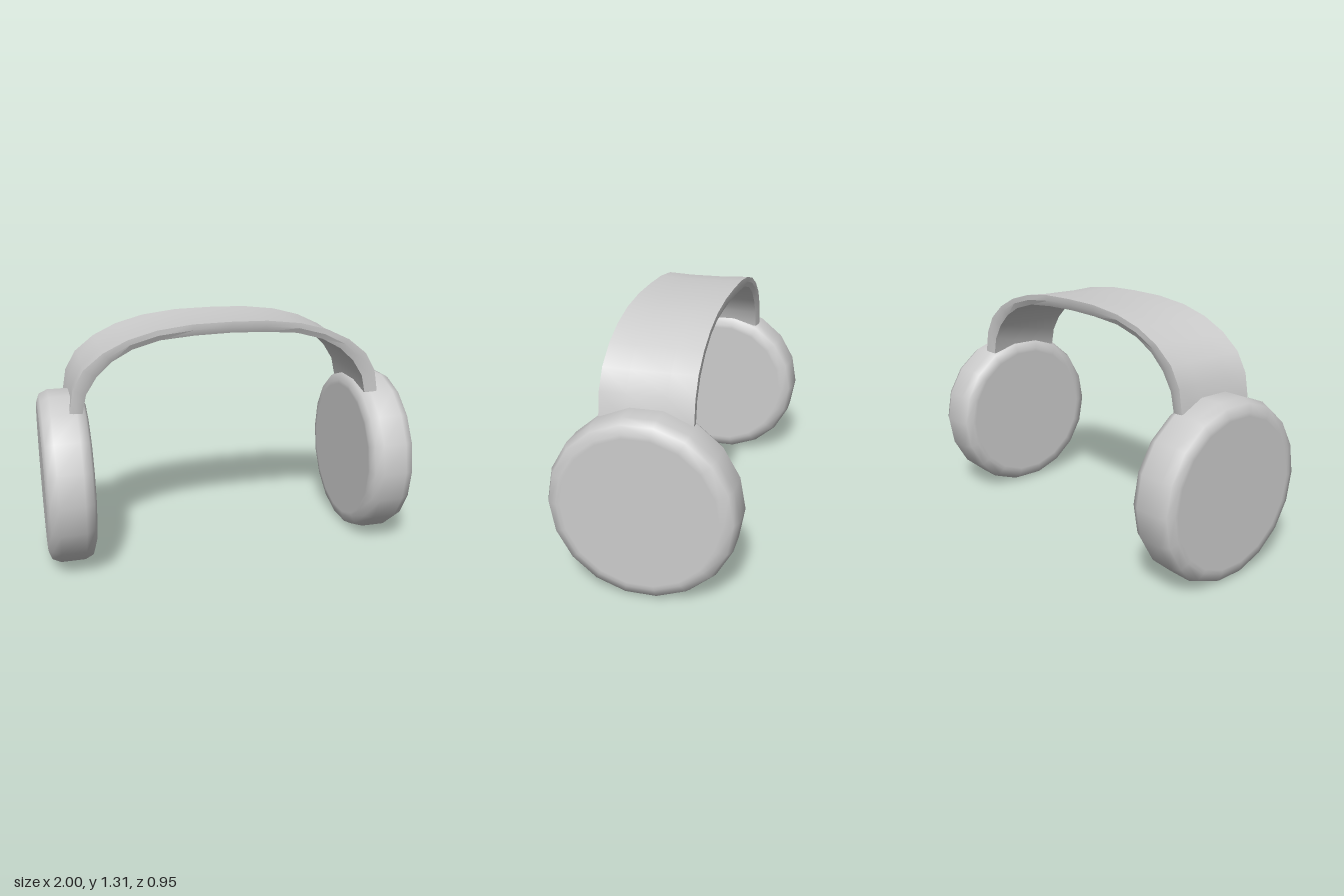
import * as THREE from 'three';
import { toCreasedNormals } from 'three/addons/utils/BufferGeometryUtils.js';

const material = new THREE.MeshStandardMaterial({ color: 0xcccccc });

// Half arches from the crown down to the end: outer and inner edge (x, y)
const OUTER = [[0, 1.31], [0.2, 1.306], [0.385, 1.284], [0.537, 1.243], [0.665, 1.182], [0.768, 1.1], [0.826, 1.0], [0.848, 0.88]];
const INNER = [[0, 1.25], [0.19, 1.245], [0.37, 1.23], [0.515, 1.19], [0.62, 1.133], [0.7, 1.06], [0.758, 0.97], [0.78, 0.872]];

// Cross-section: z and depth from outer (0) to inner (1) arch
const SECTION = [[0.232, 0], [0.232, 0.5], [0.218, 1], [-0.218, 1], [-0.232, 0.5], [-0.232, 0], [-0.1, 0.12], [0.1, 0.12]];

const mirrorArch = (half) => [...half.slice(1).reverse().map(([x, y]) => [-x, y]), ...half];

function bandGeometry() {
  const outer = mirrorArch(OUTER), inner = mirrorArch(INNER);
  const n = SECTION.length, rows = outer.length;
  const positions = [], index = [];
  outer.forEach(([ox, oy], i) => {
    const [ix, iy] = inner[i];
    for (const [z, t] of SECTION) positions.push(ox + (ix - ox) * t, oy + (iy - oy) * t, z);
  });
  for (let i = 0; i < rows - 1; i++) {
    for (let j = 0; j < n; j++) {
      const k = (j + 1) % n;
      const a = i * n + j, b = a + n, c = i * n + k, d = c + n;
      index.push(a, c, b, b, c, d);
    }
  }
  // End caps, fanned from an inner corner
  const last = (rows - 1) * n;
  for (let s = 1; s < n - 1; s++) {
    const p = (2 + s) % n, q = (3 + s) % n;
    index.push(2, q, p, last + 2, last + p, last + q);
  }
  const geometry = new THREE.BufferGeometry();
  geometry.setAttribute('position', new THREE.Float32BufferAttribute(positions, 3));
  geometry.setIndex(index);
  return toCreasedNormals(geometry, 0.45);
}

// Thick disc with rounded rims, its axis along x
function cupGeometry() {
  const half = [[0, 0.125], [0.39, 0.125], [0.41, 0.125], [0.452, 0.11], [0.473, 0.065]];
  const profile = [...half.map(([r, h]) => [r, -h]), ...half.slice().reverse()];
  const geometry = new THREE.LatheGeometry(profile.map(([r, h]) => new THREE.Vector2(r, h)), 18);
  return geometry.rotateZ(-Math.PI / 2);
}

export function createModel() {
  const model = new THREE.Group();
  model.name = 'headphones';

  const band = new THREE.Mesh(bandGeometry(), material);
  band.name = 'headband';
  model.add(band);

  const geometry = cupGeometry();
  for (const [name, side] of [['leftEarCup', 1], ['rightEarCup', -1]]) {
    const cup = new THREE.Mesh(geometry, material);
    cup.name = name;
    cup.position.set(side * 0.875, 0.466, 0);
    model.add(cup);
  }
  return model;
}
